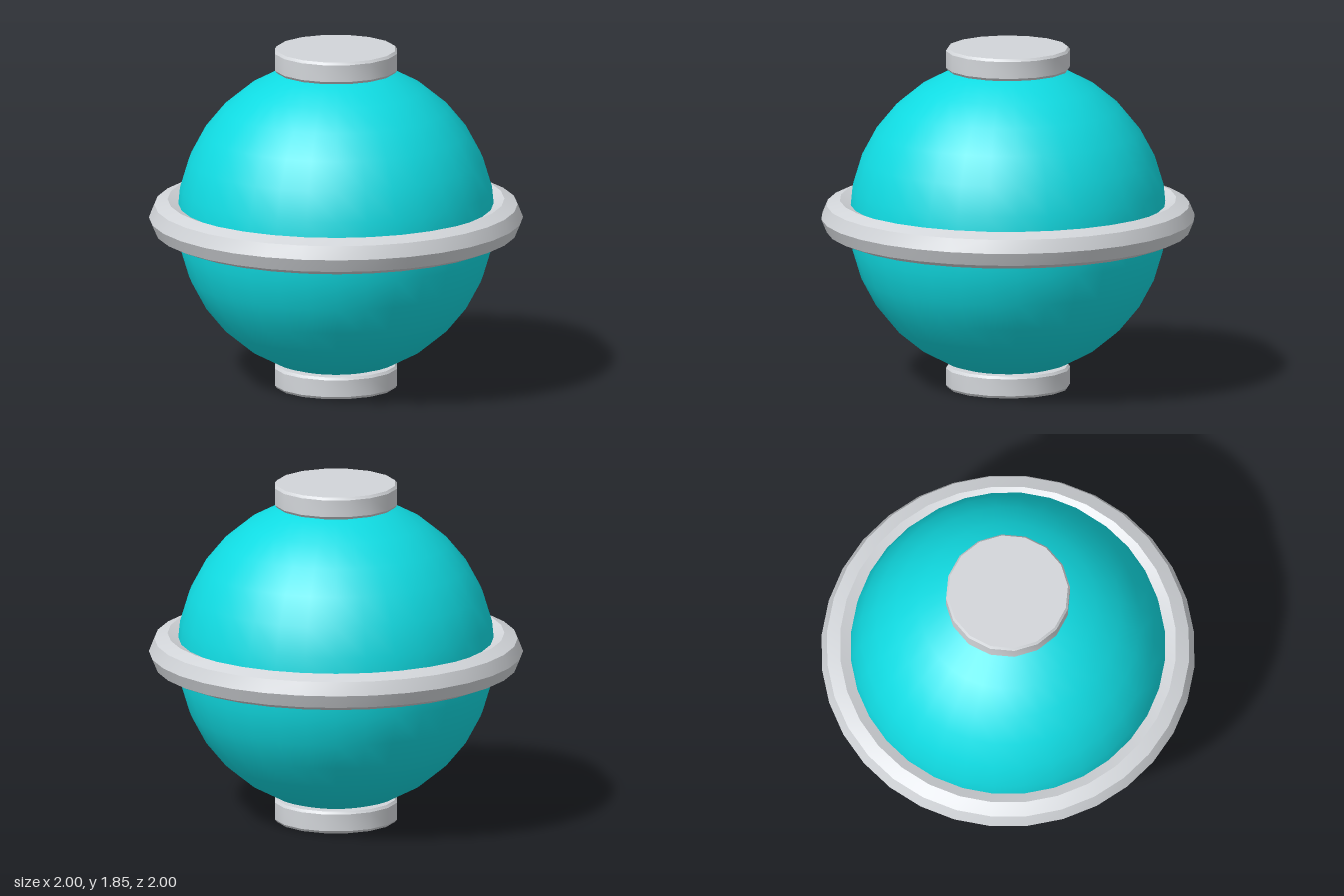
import * as THREE from 'three';
import { toCreasedNormals } from 'three/addons/utils/BufferGeometryUtils.js';

const CENTER = 0.925; // height of the sphere's middle
const CREASE = 0.6;   // smooth around, sharp across the bands

export function createModel() {
  const model = new THREE.Group();
  model.name = 'ringedSphere';

  const teal = new THREE.MeshStandardMaterial({ color: 0x10dbe2 });
  teal.name = 'teal';
  const grey = new THREE.MeshStandardMaterial({ color: 0xd2d5d9 });
  grey.name = 'lightGrey';

  const add = (name, geometry, material, y) => {
    const mesh = new THREE.Mesh(geometry, material);
    mesh.name = name;
    mesh.position.y = y;
    model.add(mesh);
  };

  // Body
  add('sphereBody', new THREE.SphereGeometry(0.85, 32, 16), teal, CENTER);

  // Equator ring with an eight-sided section
  const ring = new THREE.TorusGeometry(0.9, 0.1, 8, 32).rotateX(-Math.PI / 2);
  add('equatorRing', toCreasedNormals(ring, CREASE), grey, CENTER);

  // Round end caps with a small bevel on both rims
  const profile = [
    [0, -0.06], [0.322, -0.06], [0.333, -0.046],
    [0.333, 0.046], [0.322, 0.06], [0, 0.06],
  ].map(([r, y]) => new THREE.Vector2(r, y));
  const cap = toCreasedNormals(new THREE.LatheGeometry(profile, 16), CREASE);
  add('topCap', cap, grey, CENTER + 0.865);
  add('bottomCap', cap, grey, CENTER - 0.865);

  return model;
}
